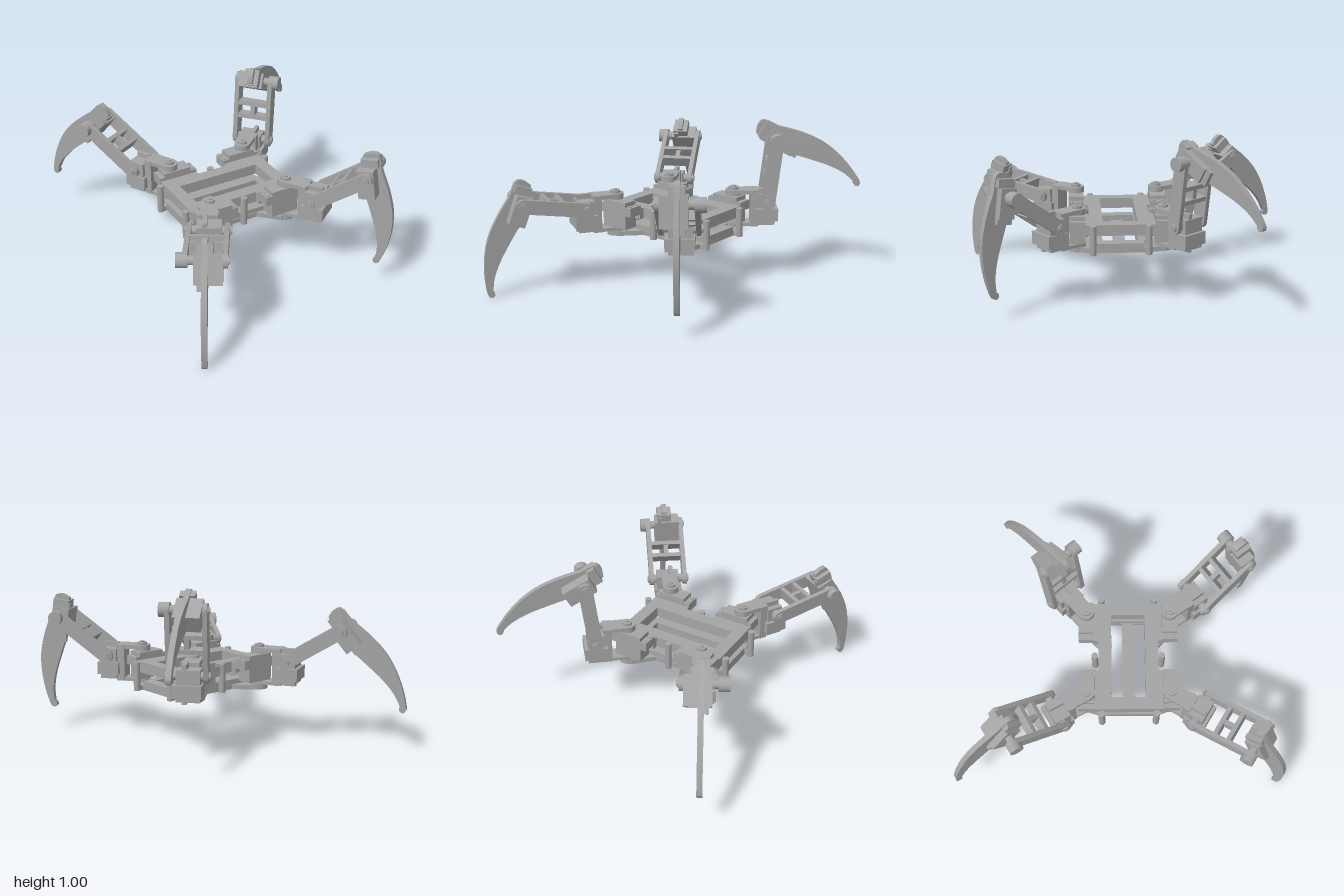
import * as THREE from 'three';
import { toCreasedNormals } from 'three/addons/utils/BufferGeometryUtils.js';

const grey = new THREE.MeshStandardMaterial({ color: 0xa4a4a4 });
grey.name = 'grey plastic';

function add(parent, name, geometry) {
  const mesh = new THREE.Mesh(geometry, grey);
  mesh.name = name;
  parent.add(mesh);
  return mesh;
}

// Box given by its limits on each axis
function box(parent, name, x0, x1, y0, y1, z0, z1) {
  const m = add(parent, name, new THREE.BoxGeometry(x1 - x0, y1 - y0, z1 - z0));
  m.position.set((x0 + x1) / 2, (y0 + y1) / 2, (z0 + z1) / 2);
  return m;
}

// Cylinder along y or z, between two limits
function rod(parent, name, r, x, b, a0, a1, axis = 'y') {
  const m = add(parent, name, new THREE.CylinderGeometry(r, r, a1 - a0, 24));
  const mid = (a0 + a1) / 2;
  if (axis === 'y') m.position.set(x, mid, b);
  else { m.rotation.x = Math.PI / 2; m.position.set(x, b, mid); }
  return m;
}

function extrude(shape, depth) {
  const g = new THREE.ExtrudeGeometry(shape, { depth, bevelEnabled: false, curveSegments: 10 });
  return toCreasedNormals(g, 0.6);
}

function polygon(points) {
  return new THREE.Shape(points.map(([x, y]) => new THREE.Vector2(x, y)));
}

function rectHole(shape, x0, x1, y0, y1) {
  shape.holes.push(new THREE.Path([[x0, y0], [x0, y1], [x1, y1], [x1, y0]].map(p => new THREE.Vector2(...p))));
}

// Bar with round ends from x = 0 to x = length, pierced at both ends
function linkShape(length, r, hole) {
  const s = new THREE.Shape();
  s.absarc(0, 0, r, Math.PI / 2, Math.PI * 1.5, false);
  s.absarc(length, 0, r, -Math.PI / 2, Math.PI / 2, false);
  s.closePath();
  for (const x of [0, length]) s.holes.push(new THREE.Path().absarc(x, 0, hole, 0, Math.PI * 2, true));
  return s;
}

const CX = -0.075, CZ = 0.052; // chassis centre
const HX = 0.255, HZ = 0.253;  // hip pivots from the chassis centre

function buildChassis() {
  const g = new THREE.Group();
  g.name = 'chassis';
  g.position.set(CX, 0, CZ);

  // Upper frame, notched front and back
  const top = polygon([[-0.338, -0.215], [-0.095, -0.215], [-0.095, -0.18], [0.095, -0.18], [0.095, -0.215], [0.338, -0.215],
    [0.338, 0.215], [0.095, 0.215], [0.095, 0.18], [-0.095, 0.18], [-0.095, 0.215], [-0.338, 0.215]]);
  rectHole(top, -0.262, 0.262, -0.103, 0.103);
  const upper = add(g, 'upperFrame', extrude(top, 0.065));
  upper.rotation.x = Math.PI / 2;
  upper.position.y = 0.485;

  // Lower plate with diagonal corner tabs and two long slots
  const low = polygon([[-0.33, -0.17], [-0.29, -0.29], [-0.21, -0.29], [-0.1, -0.18], [0.1, -0.18], [0.21, -0.29], [0.29, -0.29], [0.33, -0.17],
    [0.33, 0.17], [0.29, 0.29], [0.21, 0.29], [0.1, 0.18], [-0.1, 0.18], [-0.21, 0.29], [-0.29, 0.29], [-0.33, 0.17]]);
  rectHole(low, -0.262, 0.262, 0.035, 0.103);
  rectHole(low, -0.262, 0.262, -0.103, -0.035);
  const lower = add(g, 'lowerPlate', extrude(low, 0.028));
  lower.rotation.x = Math.PI / 2;
  lower.position.y = 0.34;

  for (const s of [-1, 1]) {
    box(g, 'lowerRail', -0.27, 0.27, 0.335, 0.37, s * 0.14 - 0.035, s * 0.14 + 0.035);
    box(g, 'lowerSideRail', s * 0.3 - 0.035, s * 0.3 + 0.035, 0.335, 0.37, -0.14, 0.14);
    // Spacers between the two plates
    rod(g, 'spacer', 0.02, 0, s * 0.203, 0.312, 0.487);
    for (const t of [-1, 1]) {
      rod(g, 'spacer', 0.02, s * 0.365, t * 0.163, 0.312, 0.487);
      box(g, 'spacerLug', s * 0.335 - 0.02, s * 0.335 + 0.02, 0.312, 0.34, t * 0.163 - 0.012, t * 0.163 + 0.012);
    }
  }

  // Hip motors in the four corners
  for (const sx of [-1, 1]) for (const sz of [-1, 1]) {
    const m = new THREE.Group();
    m.name = 'hipMotor';
    m.position.set(sx * HX, 0, sz * HZ);
    m.scale.x = 1;
    const inX = -sx;
    const span = (a, b) => [Math.min(inX * a, inX * b), Math.max(inX * a, inX * b)];
    box(m, 'motorBody', ...span(-0.055, 0.12), 0.365, 0.53, -0.047, 0.047);
    box(m, 'motorFlange', ...span(-0.085, 0.16), 0.45, 0.505, -0.047, 0.047);
    rod(m, 'flangeScrew', 0.012, inX * 0.14, 0.025, 0.5, 0.51);
    rod(m, 'flangeScrew', 0.012, inX * 0.14, -0.025, 0.5, 0.51);
    rod(m, 'lowerBearing', 0.052, 0, 0, 0.312, 0.345);
    g.add(m);
  }
  return g;
}

function clawShape() {
  const s = new THREE.Shape();
  const v = pts => pts.map(([x, y]) => new THREE.Vector2(x, y));
  s.moveTo(-0.115, -0.03);
  s.splineThru(v([[-0.13, 0.015], [-0.122, 0.055], [-0.085, 0.068]]));
  s.lineTo(-0.02, 0.07);
  // Outer curve to the tip
  s.splineThru(v([[0.12, 0.103], [0.25, 0.115], [0.367, 0.1], [0.48, 0.065], [0.57, 0.022], [0.595, 0.003]]));
  // Rounded toe with a small inward hook
  s.splineThru(v([[0.597, -0.015], [0.582, -0.027], [0.565, -0.022], [0.553, -0.008]]));
  // Inner curve back to the knee
  s.splineThru(v([[0.47, 0.008], [0.365, 0.004], [0.25, -0.016], [0.13, -0.04], [0.05, -0.048]]));
  s.closePath();
  return s;
}

const FEMUR = 0.385, HALF = 0.12;

function buildLeg(name, x, z, dx, dz, lift, clawAngle, hubSide) {
  const leg = new THREE.Group();
  leg.name = name;
  leg.position.set(x, 0, z);
  leg.rotation.y = Math.atan2(-dz, dx);

  // Hip bracket: upper and lower arms joined by a web
  const hip = new THREE.Group();
  hip.name = 'hipBracket';
  leg.add(hip);
  box(hip, 'upperArm', 0, 0.15, 0.545, 0.57, -0.05, 0.05);
  box(hip, 'lowerArm', 0, 0.15, 0.345, 0.365, -0.05, 0.05);
  for (const [a, b] of [[0.535, 0.57], [0.34, 0.365]]) rod(hip, 'armEnd', 0.05, 0, 0, a, b);
  rod(hip, 'hubCap', 0.03, 0, 0, 0.565, 0.585);
  rod(hip, 'hubScrew', 0.013, 0, 0, 0.58, 0.592);
  box(hip, 'web', 0.1, 0.145, 0.345, 0.57, -0.055, 0.055);

  // Femur motor held by the hip bracket
  box(hip, 'femurMotor', 0.145, 0.245, 0.36, 0.545, -0.075, 0.065);
  box(hip, 'femurMotorFlange', 0.15, 0.24, 0.345, 0.575, 0.005, 0.03);
  box(hip, 'motorCradle', 0.13, 0.265, 0.385, 0.46, -0.085, 0.085);
  rod(hip, 'femurAxle', 0.026, 0.2, 0.506, -HALF - 0.008, HALF + 0.008, 'z');

  // Femur: two side arms with a slotted cross piece
  const femur = new THREE.Group();
  femur.name = 'femur';
  femur.position.set(0.2, 0.506, 0);
  femur.rotation.z = lift;
  leg.add(femur);
  for (const s of [-1, 1]) {
    const arm = add(femur, 'sideArm', extrude(linkShape(FEMUR, 0.042, 0.028), 0.028));
    arm.position.z = s * (HALF - 0.014) - 0.014;
    for (const px of [0, FEMUR]) rod(femur, 'jointScrew', 0.015, px, 0, s * (HALF + 0.005) - 0.008, s * (HALF + 0.005) + 0.008, 'z');
  }
  for (const cx of [0.15, 0.235]) box(femur, 'crossBar', cx - 0.013, cx + 0.013, -0.036, 0.036, -0.1, 0.1);
  box(femur, 'crossRib', 0.15, 0.235, -0.03, 0.03, -0.014, 0.014);

  // Lower leg: knee motor and curved claw
  const shin = new THREE.Group();
  shin.name = 'lowerLeg';
  shin.position.set(0.2 + FEMUR * Math.cos(lift), 0.506 + FEMUR * Math.sin(lift), 0);
  shin.rotation.z = clawAngle;
  leg.add(shin);
  const claw = add(shin, 'claw', extrude(clawShape(), 0.032));
  claw.position.z = -0.016;
  const h = hubSide;
  const side = (a, b) => [Math.min(h * a, h * b), Math.max(h * a, h * b)];
  box(shin, 'kneeMotor', -0.05, 0.125, -0.052, 0.046, ...side(-0.095, 0.06));
  box(shin, 'kneeMotorFlange', -0.085, 0.16, -0.05, 0.044, ...side(0.015, 0.042));
  box(shin, 'motorClamp', -0.1, -0.05, -0.04, 0.06, ...side(-0.045, 0.045));
  rod(shin, 'kneeAxle', 0.026, 0, 0, -HALF - 0.006, HALF + 0.006, 'z');
  rod(shin, 'kneeHub', 0.042, 0, 0, ...side(0.1, 0.155), 'z');
  return leg;
}

export function createModel() {
  const model = new THREE.Group();
  model.name = 'walkingRobot';
  model.add(buildChassis());
  const rad = THREE.MathUtils.degToRad;
  // name, side, end, heading x, heading z, femur lift, claw angle, hub side
  const legs = [
    ['frontLeftLeg', 1, 1, 0.59, 0.81, 36, -82, -1],
    ['frontRightLeg', -1, 1, -0.52, 0.853, 9, -70, 1],
    ['backRightLeg', -1, -1, -0.484, -0.875, 32, -50.5, -1],
    ['backLeftLeg', 1, -1, 0.763, -0.647, 83, -29, 1],
  ];
  for (const [name, sx, sz, dx, dz, lift, claw, hub] of legs)
    model.add(buildLeg(name, CX + sx * HX, CZ + sz * HZ, dx, dz, rad(lift), rad(claw), hub));
  return model;
}
